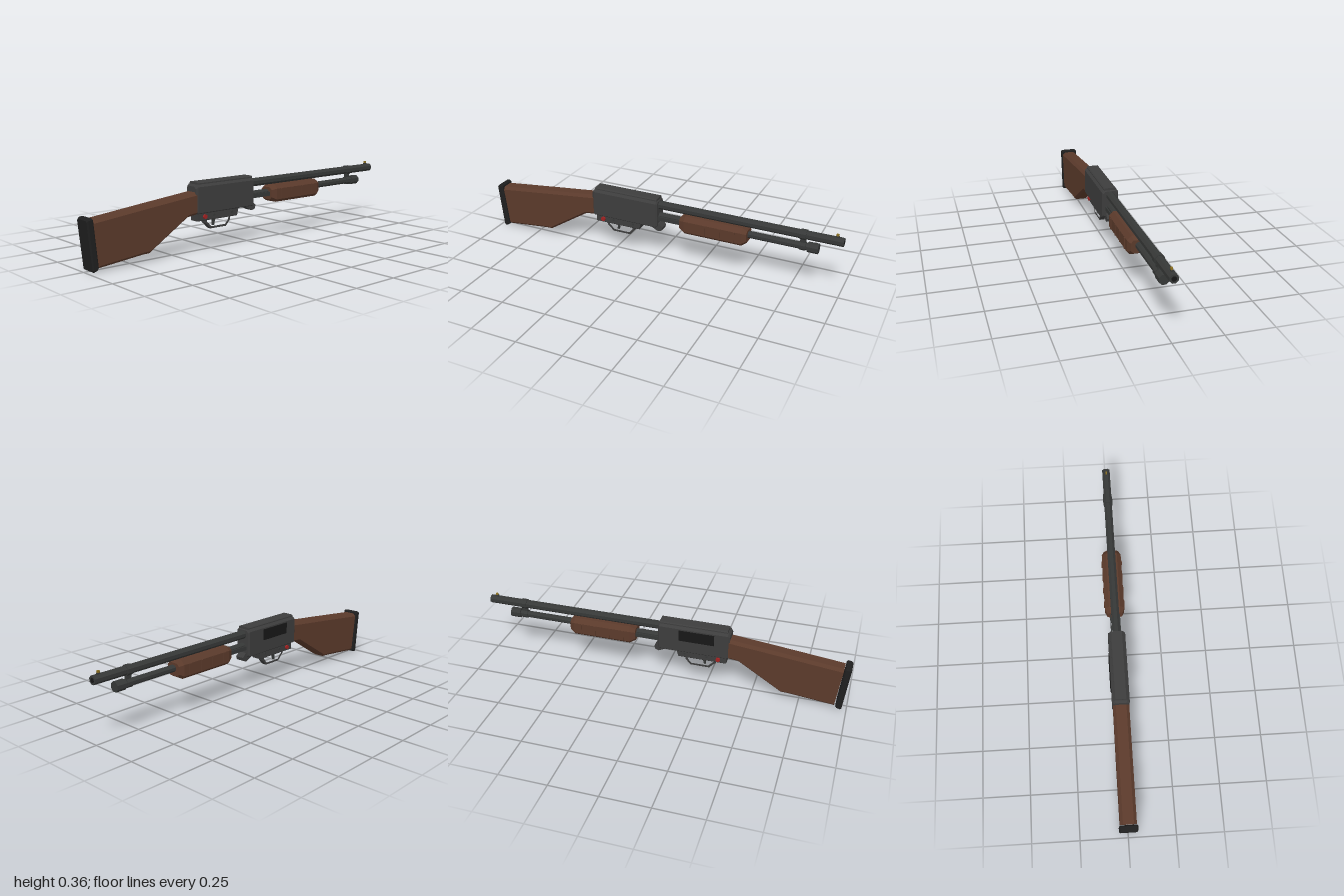
import * as THREE from 'three';

const mat = (name, color) => {
  const m = new THREE.MeshStandardMaterial({ color, flatShading: true });
  m.name = name;
  return m;
};

export function createModel() {
  const group = new THREE.Group();
  const steel = mat('receiver steel', 0x3d3d3d);
  const barrelSteel = mat('barrel steel', 0x363837);
  const wood = mat('wood', 0x5b3a2b);
  const rubber = mat('rubber', 0x1f1f1f);
  const dark = mat('dark opening', 0x171717);
  const red = mat('safety red', 0xa32222);
  const brass = mat('brass', 0x8a6f22);

  const add = (name, geometry, material) => {
    const mesh = new THREE.Mesh(geometry, material);
    mesh.name = name;
    group.add(mesh);
    return mesh;
  };

  // Chamfered eight-sided sections joined along z, in rising z order.
  // Each: [zTop, zBottom, halfWidth, yBottom, yTop, topChamfer, bottomChamfer]
  const loft = (sections) => {
    const pos = [], index = [];
    for (const [zt, zb, w, y0, y1, ct, cb] of sections) {
      const ring = [[w, y0 + cb], [w, y1 - ct], [w - ct, y1], [ct - w, y1],
        [-w, y1 - ct], [-w, y0 + cb], [cb - w, y0], [w - cb, y0]];
      for (const [x, y] of ring) pos.push(x, y, zb + (zt - zb) * (y - y0) / (y1 - y0));
    }
    const last = (sections.length - 1) * 8;
    for (let s = 0; s < last; s += 8) {
      for (let i = 0; i < 8; i++) {
        const j = (i + 1) % 8;
        index.push(s + i, s + j, s + 8 + j, s + i, s + 8 + j, s + 8 + i);
      }
    }
    for (let i = 1; i < 7; i++) index.push(0, i + 1, i, last, last + i, last + i + 1);
    const g = new THREE.BufferGeometry();
    g.setAttribute('position', new THREE.Float32BufferAttribute(pos, 3));
    g.setIndex(index);
    const flat = g.toNonIndexed();
    flat.computeVertexNormals();
    return flat;
  };

  // Octagonal rod along z with flats on top and sides
  const rod = (name, r, y, z0, z1, material, x = 0) => {
    const g = new THREE.CylinderGeometry(r * 1.08, r * 1.08, z1 - z0, 8);
    g.rotateY(Math.PI / 8).rotateX(Math.PI / 2).translate(x, y, (z0 + z1) / 2);
    return add(name, g, material);
  };

  const box = (name, w, h, d, x, y, z, material) =>
    add(name, new THREE.BoxGeometry(w, h, d).translate(x, y, z), material);

  // Side outline in (z, y) given a width across x
  const slab = (name, points, width, material, hole) => {
    const toVec = (p) => new THREE.Vector2(p[0], p[1]);
    const shape = new THREE.Shape(points.map(toVec));
    if (hole) shape.holes.push(new THREE.Path(hole.map(toVec)));
    const g = new THREE.ExtrudeGeometry(shape, { depth: width, bevelEnabled: false });
    g.rotateY(-Math.PI / 2).translate(width / 2, 0, 0);
    return add(name, g, material);
  };

  // Receiver and its top rib
  add('receiver', loft([
    [-0.015, -0.015, 0.038, 0.207, 0.346, 0.012, 0.005],
    [-0.008, -0.008, 0.045, 0.202, 0.352, 0.012, 0.005],
    [0.362, 0.362, 0.045, 0.202, 0.352, 0.012, 0.005],
    [0.372, 0.372, 0.038, 0.207, 0.342, 0.012, 0.005]]), steel);
  add('topRib', loft([
    [-0.01, -0.01, 0.033, 0.348, 0.363, 0.005, 0.002],
    [0.358, 0.358, 0.033, 0.348, 0.363, 0.005, 0.002]]), steel);
  box('ejectionPort', 0.008, 0.06, 0.19, -0.0455, 0.303, 0.195, dark);

  // Barrel, bore and front bead
  rod('barrel', 0.021, 0.321, -1, -0.01, barrelSteel);
  rod('bore', 0.012, 0.321, -1.0005, -0.99, dark);
  box('beadBase', 0.01, 0.008, 0.018, 0, 0.345, -0.965, barrelSteel);
  box('beadSight', 0.009, 0.013, 0.013, 0, 0.353, -0.965, brass);

  // Magazine tube, cap and barrel clamp
  rod('magazineTube', 0.017, 0.257, -0.83, -0.01, barrelSteel);
  rod('magazineCap', 0.025, 0.257, -0.88, -0.825, barrelSteel);
  rod('barrelRing', 0.025, 0.321, -0.815, -0.783, barrelSteel);
  rod('magazineRing', 0.021, 0.257, -0.815, -0.783, barrelSteel);
  box('clampBridge', 0.016, 0.04, 0.028, 0, 0.288, -0.799, barrelSteel);
  for (const side of [-1, 1]) {
    box('actionBar', 0.006, 0.022, 0.16, side * 0.024, 0.25, -0.08, barrelSteel);
  }

  // Sliding fore-end with raised ribs
  add('foreEnd', loft([
    [-0.515, -0.515, 0.04, 0.218, 0.285, 0.014, 0.014],
    [-0.49, -0.49, 0.052, 0.203, 0.3, 0.022, 0.015],
    [-0.175, -0.175, 0.052, 0.203, 0.3, 0.022, 0.015],
    [-0.145, -0.145, 0.04, 0.218, 0.285, 0.014, 0.014]]), wood);
  for (const z of [-0.21, -0.29, -0.37, -0.45]) {
    for (const side of [-1, 1]) {
      box('foreEndRib', 0.008, 0.058, 0.012, side * 0.0515, 0.248, z, wood);
    }
  }

  // Butt stock and recoil pad
  add('stock', loft([
    [0.365, 0.365, 0.042, 0.2, 0.315, 0.015, 0.012],
    [0.42, 0.42, 0.042, 0.194, 0.309, 0.015, 0.012],
    [0.655, 0.655, 0.042, 0.046, 0.284, 0.015, 0.012],
    [0.69, 0.69, 0.042, 0.045, 0.28, 0.015, 0.012],
    [0.962, 0.935, 0.042, 0.02, 0.25, 0.015, 0.012]]), wood);
  add('recoilPad', loft([
    [0.966, 0.943, 0.043, 0.018, 0.257, 0.006, 0.006],
    [0.972, 0.949, 0.047, 0.012, 0.262, 0.007, 0.007],
    [0.992, 0.969, 0.047, 0.005, 0.259, 0.007, 0.007],
    [1, 0.975, 0.042, 0.008, 0.252, 0.006, 0.006]]), rubber);

  // Trigger housing, guard, trigger and safety
  add('triggerHousing', loft([
    [0.083, 0.095, 0.03, 0.161, 0.207, 0.003, 0.004],
    [0.355, 0.355, 0.03, 0.161, 0.207, 0.003, 0.004]]), steel);
  slab('triggerGuard',
    [[0.297, 0.165], [0.297, 0.145], [0.283, 0.134], [0.262, 0.111], [0.158, 0.111],
      [0.132, 0.14], [0.127, 0.165]], 0.028, steel,
    [[0.284, 0.16], [0.284, 0.15], [0.272, 0.139], [0.256, 0.122], [0.164, 0.122],
      [0.144, 0.144], [0.14, 0.16]]);
  slab('trigger',
    [[0.246, 0.165], [0.238, 0.145], [0.24, 0.124], [0.231, 0.124], [0.226, 0.145],
      [0.218, 0.165]], 0.012, barrelSteel);
  add('safetyButton', new THREE.CylinderGeometry(0.012, 0.012, 0.08, 8)
    .rotateZ(Math.PI / 2).translate(0, 0.183, 0.312), red);
  for (const z of [0.13, 0.25]) {
    add('housingPin', new THREE.CylinderGeometry(0.006, 0.006, 0.066, 8)
      .rotateZ(Math.PI / 2).translate(0, 0.186, z), barrelSteel);
  }

  // Slanted lug under the front of the receiver
  slab('frontLug',
    [[0.035, 0.21], [0.028, 0.196], [-0.016, 0.174], [-0.036, 0.182], [-0.041, 0.2],
      [-0.02, 0.222], [0.03, 0.222]], 0.05, steel);

  return group;
}
